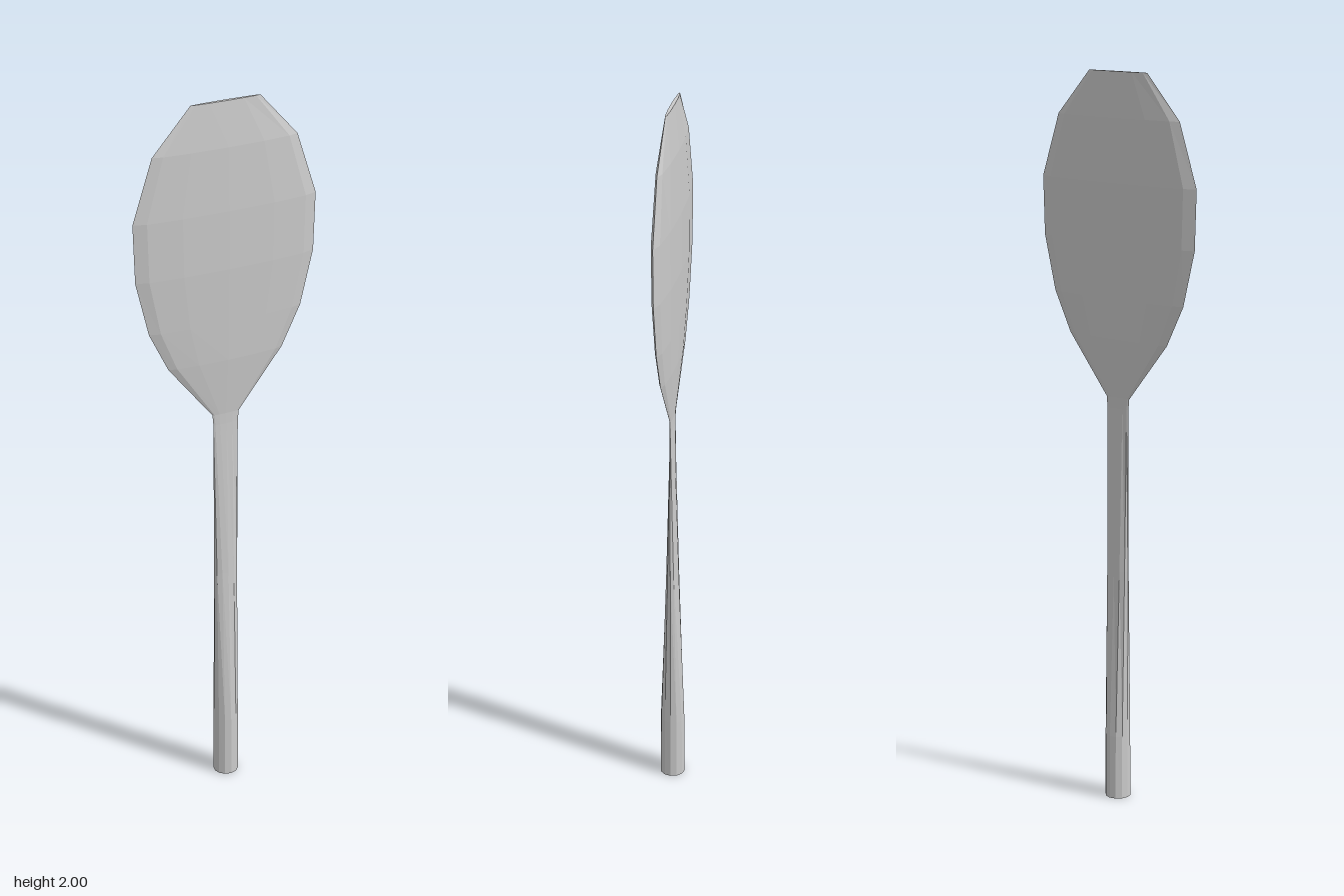
import * as THREE from 'three';

const SIDES = 12;

// Lathe with elliptical rings: each ring is [height, half width, half depth]
function ellipticalLathe(name, rings) {
  const points = rings.map(([y, w]) => new THREE.Vector2(w, y));
  const geometry = new THREE.LatheGeometry(points, SIDES);
  const pos = geometry.attributes.position;
  for (let i = 0; i < pos.count; i++) {
    const [, w, d] = rings[i % rings.length];
    if (w > 0) pos.setZ(i, pos.getZ(i) * d / w);
  }
  geometry.computeVertexNormals();
  const material = new THREE.MeshStandardMaterial({ color: 0xcccccc, flatShading: true });
  const mesh = new THREE.Mesh(geometry, material);
  mesh.name = name;
  return mesh;
}

export function createModel() {
  const group = new THREE.Group();
  group.name = 'paddle';

  const neck = [1.13, 0.04, 0.004];

  // Round grip that flattens towards the neck, closed at the bottom
  group.add(ellipticalLathe('handle', [
    [0, 0, 0],
    [0, 0.035, 0.035],
    [0.18, 0.035, 0.034],
    [0.65, 0.036, 0.017],
    [1.1, 0.037, 0.004],
    neck,
  ]));

  // Wide lens-shaped blade, cut off flat at the tip
  group.add(ellipticalLathe('blade', [
    neck,
    [1.29, 0.17, 0.015],
    [1.4, 0.225, 0.019],
    [1.55, 0.262, 0.023],
    [1.71, 0.267, 0.023],
    [1.88, 0.21, 0.017],
    [2, 0.1, 0.005],
    [2, 0, 0],
  ]));

  return group;
}
